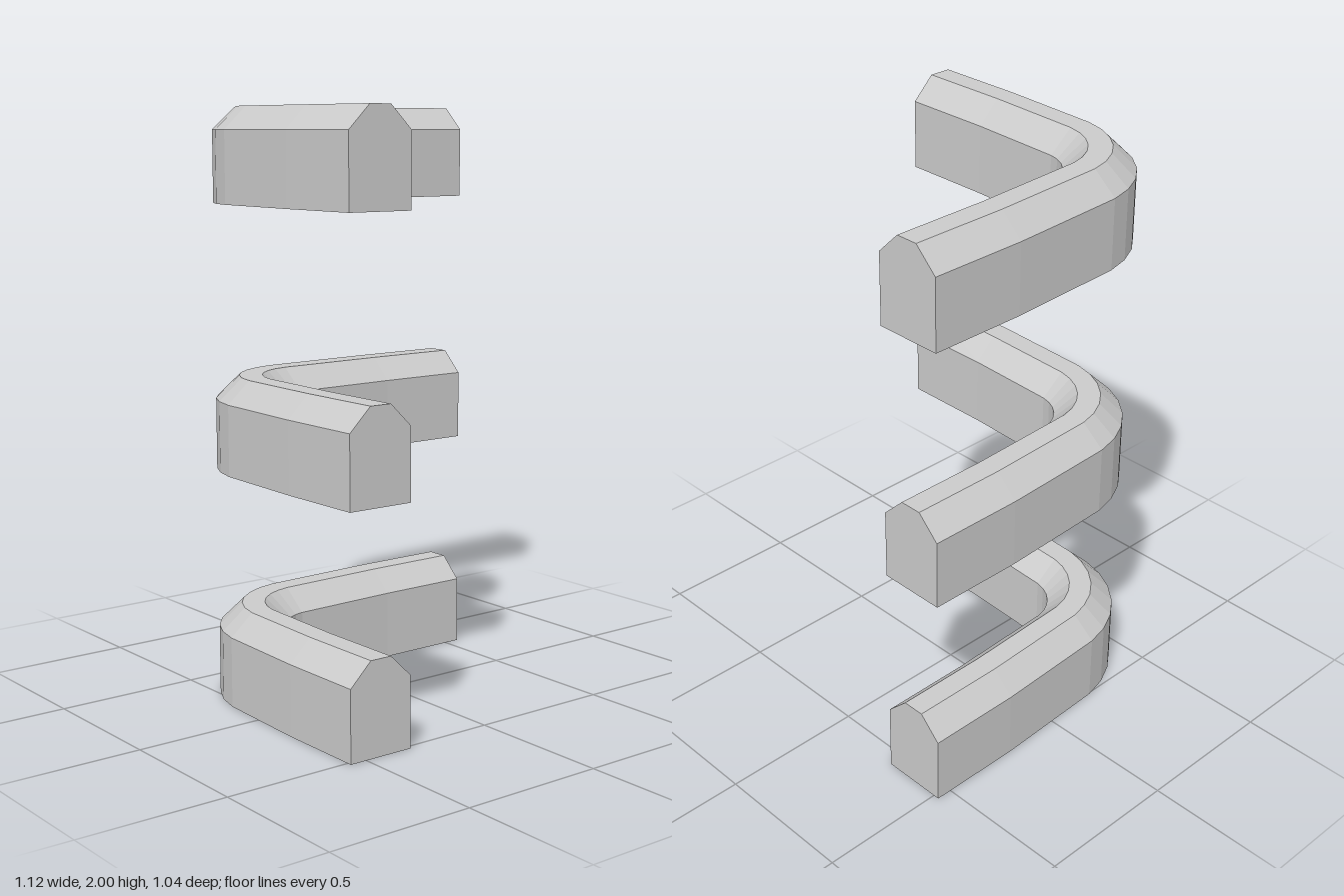
import * as THREE from 'three';

// Matching points [x, z] on the outer and inner edge along the bent bar
function barStations() {
  const stations = [
    { outer: [-0.56, 0.516], inner: [-0.326, 0.518] },
    { outer: [-0.56, 0.2], inner: [-0.326, 0.2] },
  ];
  // rounded corner in six straight facets
  for (let i = 0; i <= 6; i++) {
    const a = THREE.MathUtils.degToRad(7 + (76 * i) / 6);
    const at = (r) => [-0.157 - r * Math.cos(a), -0.118 - r * Math.sin(a)];
    stations.push({ outer: at(0.39), inner: at(0.156) });
  }
  stations.push({ outer: [0.22, -0.523], inner: [0.22, -0.287] });
  stations.push({ outer: [0.556, -0.521], inner: [0.556, -0.287] });
  return stations;
}

// Sweep of a box section with chamfered top edges, closed at both ends
function barGeometry() {
  // [fraction from outer to inner edge, height]
  const section = [[0, 0], [0, 0.24], [1 / 3, 0.316], [2 / 3, 0.316], [1, 0.24], [1, 0]];
  const n = section.length;
  const stations = barStations();
  const positions = [];
  const index = [];

  for (const { outer, inner } of stations) {
    for (const [t, y] of section) {
      positions.push(
        THREE.MathUtils.lerp(outer[0], inner[0], t), y,
        THREE.MathUtils.lerp(outer[1], inner[1], t));
    }
  }
  for (let i = 0; i < stations.length - 1; i++) {
    for (let k = 0; k < n; k++) {
      const a = i * n + k;
      const b = i * n + ((k + 1) % n);
      index.push(a, b, b + n, a, b + n, a + n);
    }
  }
  // end caps
  const last = (stations.length - 1) * n;
  for (let k = 1; k < n - 1; k++) {
    index.push(0, k + 1, k);
    index.push(last, last + k, last + k + 1);
  }

  const geometry = new THREE.BufferGeometry();
  geometry.setAttribute('position', new THREE.Float32BufferAttribute(positions, 3));
  geometry.setIndex(index);
  const flat = geometry.toNonIndexed();
  flat.computeVertexNormals();
  return flat;
}

export function createModel() {
  const group = new THREE.Group();
  group.name = 'cornerRails';
  const material = new THREE.MeshStandardMaterial({ color: 0xcccccc, flatShading: true });
  const geometry = barGeometry();

  // three identical rails stacked with gaps
  const rails = { lowerRail: 0, middleRail: 0.79, upperRail: 1.684 };
  for (const [name, y] of Object.entries(rails)) {
    const rail = new THREE.Mesh(geometry, material);
    rail.name = name;
    rail.position.y = y;
    group.add(rail);
  }
  return group;
}
